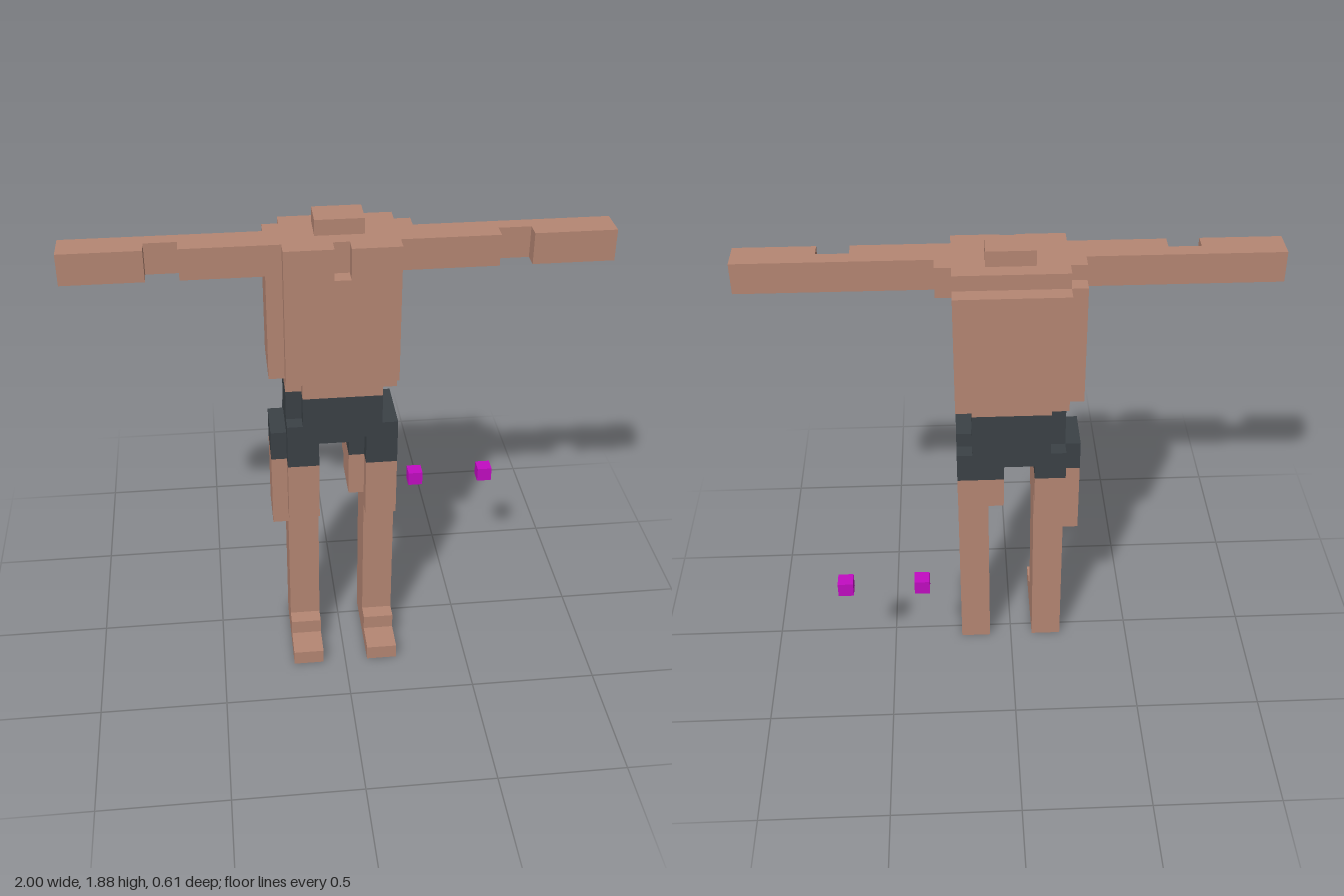
import * as THREE from 'three';

const U = 2 / 33; // one block

export function createModel() {
  const model = new THREE.Group();
  model.name = 'blockFigure';

  const paint = (name, color) => {
    const m = new THREE.MeshStandardMaterial({ color });
    m.name = name;
    return m;
  };
  const skin = paint('skin', 0xb58673);
  const cloth = paint('dark cloth', 0x3b4146);
  const magenta = paint('magenta', 0xc20cc2);

  // Box between two corners, measured in blocks
  const box = (name, mat, x0, x1, y0, y1, z0, z1) => {
    const mesh = new THREE.Mesh(new THREE.BoxGeometry((x1 - x0) * U, (y1 - y0) * U, (z1 - z0) * U), mat);
    mesh.position.set((x0 + x1) / 2 * U, (y0 + y1) / 2 * U, (z0 + z1) / 2 * U);
    mesh.name = name;
    model.add(mesh);
  };
  // The same box on the left (+x) and right (-x)
  const pair = (name, mat, x0, x1, ...rest) => {
    box('left' + name, mat, x0, x1, ...rest);
    box('right' + name, mat, -x1, -x0, ...rest);
  };

  // Neck and torso, with a throat notch at the front
  box('neck', skin, -1.5, 1.5, 30, 31, -1, 1);
  box('torso', skin, -3.5, 3.5, 21, 30, -2, 2);
  box('chest', skin, -3.5, 3.5, 21, 28, 2, 3);
  pair('Collar', skin, 0.5, 3.5, 28, 30, 2, 3);
  box('back', skin, -3.5, 3.5, 21, 29, -3, -2);
  box('rightFlank', skin, -4.5, -3.5, 21, 29, -2, 2);
  box('waist', skin, -2.5, 2.5, 20, 21, -2, 3);
  pair('WaistSide', skin, 2.5, 3.5, 20, 21, -1, 2);

  // Arms, notched at the front of the elbow
  pair('Shoulder', skin, 3.5, 4.5, 28, 30, -1, 0);
  pair('Arm', skin, 3.5, 16.5, 28, 30, 0, 1);
  pair('UpperArmFront', skin, 3.5, 9.5, 28, 30, 1, 2);
  pair('ForearmFront', skin, 11.5, 16.5, 28, 30, 1, 2);

  // Shorts
  box('shortsWaist', cloth, -2.5, 2.5, 17, 20, -2, 3);
  box('shortsRightHip', cloth, -3.5, -2.5, 18, 20, -1, 2);
  pair('ShortsHip', cloth, 2.5, 3.5, 17, 18, -1, 3);
  box('shortsCrotch', cloth, -1.5, 1.5, 16, 17, -2, 2);
  pair('ShortsLeg', cloth, 1.5, 3.5, 15, 17, -2, 3);
  box('shortsLeftInner', cloth, 0.5, 1.5, 15, 16, -2, 2);
  box('shortsRightOuter', cloth, -4.5, -3.5, 15, 17, -1, 2);

  // Legs and stepped feet
  pair('Thigh', skin, 1.5, 3.5, 11, 15, -1, 3);
  pair('ThighBack', skin, 1.5, 3.5, 13, 15, -2, -1);
  box('leftInnerThigh', skin, 0.5, 1.5, 12, 15, -1, 2);
  box('leftInnerThighBack', skin, 0.5, 1.5, 13, 15, -2, -1);
  box('rightOuterThigh', skin, -4.5, -3.5, 10, 15, -1, 2);
  pair('Shin', skin, 1.5, 3.5, 0, 11, -1, 2);
  pair('Instep', skin, 1.5, 3.5, 0, 2, 2, 3);
  pair('Toes', skin, 1.5, 3.5, 0, 1, 3, 5);

  // Two loose cubes beside the legs
  box('innerCube', magenta, 5.5, 6.5, 8, 9, -5, -4);
  box('outerCube', magenta, 10.5, 11.5, 8, 9, -5, -4);

  return model;
}
